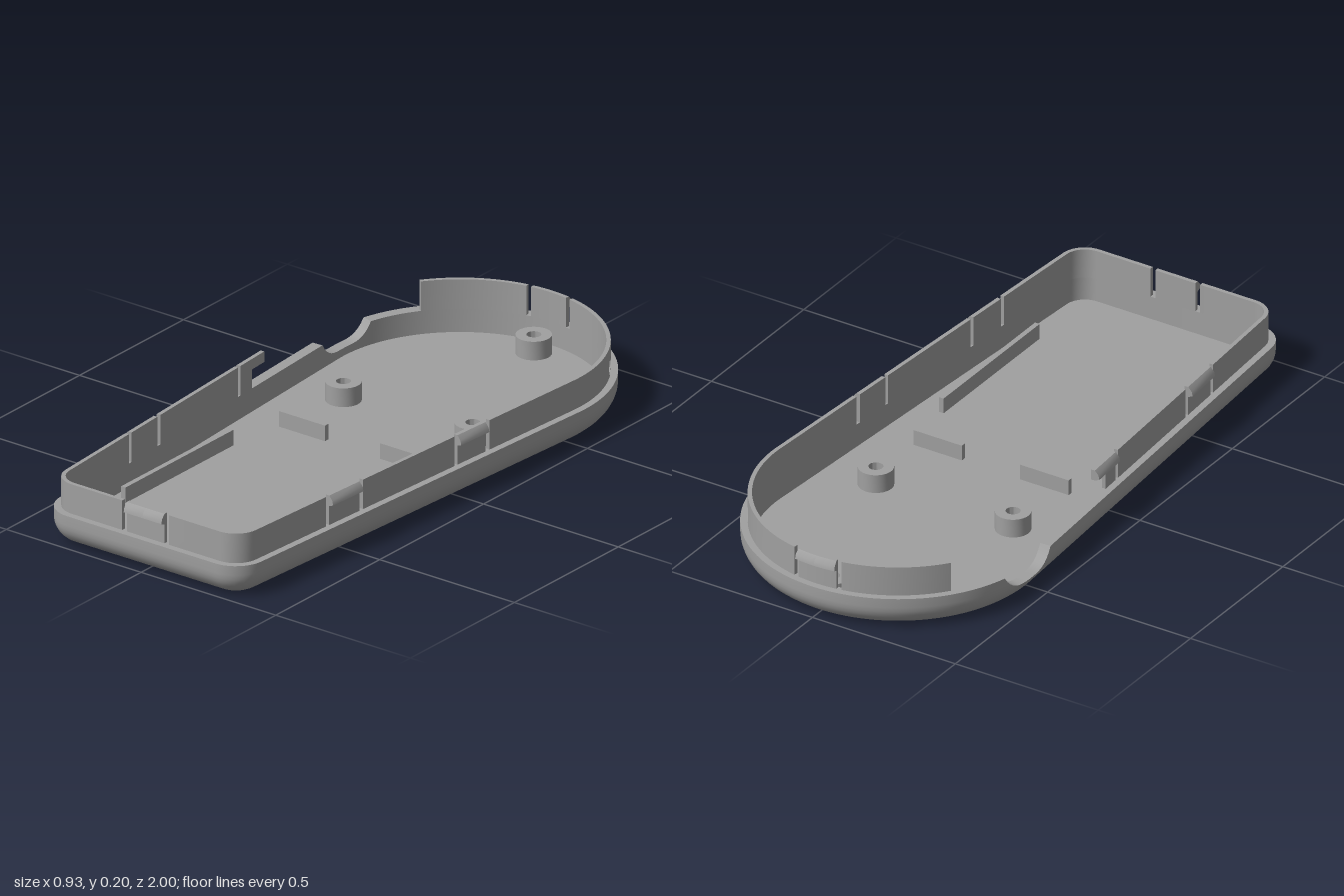
import * as THREE from 'three';
import { toCreasedNormals } from 'three/addons/utils/BufferGeometryUtils.js';

// Outline: big round back, tapering straight sides, small rounded front corners
const R = 0.465, ZB = -0.535, r = 0.1, CX = 0.275, ZF = 0.9, PHI = 0.0631;
const ARC = R * (Math.PI / 2 + PHI);
const SIDE = Math.sqrt(CX * CX + (ZF - ZB) ** 2 - (R - r) ** 2);
const CORNER = r * (Math.PI / 2 - PHI);
const L = ARC + SIDE + CORNER + CX;
const zA = ZB + R * Math.sin(PHI), zE = ZF + r * Math.sin(PHI);
const uZ = z => ARC + SIDE * (z - zA) / (zE - zA);

// Heights and insets
const LEDGE = 0.105, TOP = 0.2, FLOOR = 0.03, ROUND = 0.075, LIP_OUT = 0.022, LIP_IN = 0.035;

// Point on the outline at distance s from the back centre (negative = right half), inset by d
function at(s, d) {
  const u = Math.abs(s);
  let a, cx = 0, cz = ZB, rad = R;
  if (u < ARC) a = -Math.PI / 2 + u / R;
  else if (u < ARC + SIDE) {
    const k = (u - ARC) / SIDE;
    a = PHI; cx = CX * k; cz = ZB + (ZF - ZB) * k; rad = R + (r - R) * k;
  } else {
    const v = u - ARC - SIDE;
    a = PHI + Math.min(v, CORNER) / r;
    cx = CX - Math.max(0, v - CORNER); cz = ZF; rad = r;
  }
  return [Math.sign(s) * (cx + (rad - d) * Math.cos(a)), cz + (rad - d) * Math.sin(a)];
}

// Side notch in the rim
const N0 = uZ(-0.655), N1 = uZ(-0.42);
function rimTop(s) {
  const k = (-s - (N0 + N1) / 2) / ((N1 - N0) / 2);
  return Math.abs(k) < 1 ? LEDGE - 0.05 * (1 - k ** 4) : LEDGE;
}

const half = [0];
for (let i = 1; i <= 40; i++) half.push(ARC * i / 40);
for (let i = 0; i <= 20; i++) half.push(N0 + (N1 - N0) * i / 20);
for (let i = 0; i <= 10; i++) half.push(ARC + SIDE + CORNER * i / 10);
half.push(L);
const base = [...new Set([...half, ...half.map(u => -u)])].sort((a, b) => a - b);
const stations = (a, b, n = 1) => {
  const list = base.filter(s => s > a + 1e-5 && s < b - 1e-5);
  for (let i = 0; i <= n; i++) list.push(a + (b - a) * i / n);
  return list.sort((p, q) => p - q);
};

// Sweep a profile of [inset, height] points along the outline
function sweep(st, profile, solid = true) {
  const rows = st.map(s => profile(s).map(([d, y]) => {
    const [x, z] = at(s, d);
    return [x, y, z];
  }));
  const pos = [], m = rows[0].length, tri = (...p) => p.forEach(v => pos.push(...v));
  for (let i = 0; i < rows.length - 1; i++)
    for (let j = 0; j < (solid ? m : m - 1); j++) {
      const k = (j + 1) % m, A = rows[i], B = rows[i + 1];
      tri(A[j], A[k], B[j]);
      tri(A[k], B[k], B[j]);
    }
  if (solid) {
    const S = rows[0], E = rows[rows.length - 1];
    for (let j = 1; j < m - 1; j++) {
      tri(S[0], S[j + 1], S[j]);
      tri(E[0], E[j], E[j + 1]);
    }
  }
  const g = new THREE.BufferGeometry();
  g.setAttribute('position', new THREE.Float32BufferAttribute(pos, 3));
  return toCreasedNormals(g, 0.5);
}

export function createModel() {
  const model = new THREE.Group();
  model.name = 'enclosureHalf';
  const plastic = new THREE.MeshStandardMaterial({ color: 0xa0a0a0, side: THREE.DoubleSide });
  plastic.name = 'greyPlastic';
  const add = (name, geo, x = 0, y = 0, z = 0) => {
    const mesh = new THREE.Mesh(geo, plastic);
    mesh.name = name;
    mesh.position.set(x, y, z);
    model.add(mesh);
  };

  // Outer wall with rounded bottom edge, ledge and inner face
  add('outerWall', sweep(stations(-L, L), s => {
    const top = rimTop(s), p = [];
    for (let i = 0; i <= 8; i++) {
      const a = Math.PI / 2 * i / 8;
      p.push([ROUND * (1 - Math.sin(a)), Math.min(top, ROUND * (1 - Math.cos(a)))]);
    }
    return [...p, [0, top], [LIP_IN, top], [LIP_IN, FLOOR]];
  }, false));

  // Flat underside and inner floor, pierced at the screw posts
  const posts = [[-0.24, -0.285], [0.24, -0.285], [0, -0.89]];
  const plate = (inset, dir) => {
    const shape = new THREE.Shape(stations(-L, L).slice(1).map(s => {
      const [x, z] = at(s, inset);
      return new THREE.Vector2(x, dir * z);
    }));
    for (const [x, z] of posts)
      shape.holes.push(new THREE.Path().absarc(x, dir * z, 0.054, 0, Math.PI * 2, true));
    return new THREE.ShapeGeometry(shape, 24).rotateX(dir * Math.PI / 2);
  };
  add('underside', plate(ROUND, 1));
  add('floor', plate(LIP_IN, -1), 0, FLOOR, 0);

  // Screw posts, countersunk from below
  const postProfile = [[0.054, 0], [0.04, 0.03], [0.022, 0.04], [0.022, 0.09], [0.054, 0.09], [0.054, FLOOR]]
    .map(p => new THREE.Vector2(...p)).reverse();
  const postGeo = toCreasedNormals(new THREE.LatheGeometry(postProfile, 32).toNonIndexed(), 0.5);
  for (const [x, z] of posts) add('screwPost', postGeo, x, 0, z);

  // Ribs on the floor
  for (const side of [-1, 1]) {
    add('crossRib', new THREE.BoxGeometry(0.17, 0.05, 0.016), side * 0.187, FLOOR + 0.025, -0.025);
    add('longRib', new THREE.BoxGeometry(0.016, 0.05, 0.52), side * 0.305, FLOOR + 0.025, 0.43);
  }

  // Thin upper lip, cut by slits beside each clip
  const lip = (name, side, a, b, lo = () => LEDGE - 0.002, hi = () => TOP, n = 1) => {
    const [p, q] = side > 0 ? [a, b] : [-b, -a];
    add(name, sweep(stations(p, q, n), s =>
      [[LIP_OUT, lo(s)], [LIP_OUT, hi(s)], [LIP_IN, hi(s)], [LIP_IN, lo(s)]]));
  };
  const hook = (side, a, b) => {
    const [p, q] = side > 0 ? [a, b] : [-b, -a];
    add('clipHook', sweep(stations(p, q), () =>
      [[LIP_OUT, 0.166], [0.007, 0.172], [0.01, 0.186], [LIP_OUT, TOP]]));
  };
  const clips = [[0, 0.07], [uZ(-0.115), uZ(0.01)], [uZ(0.445), uZ(0.58)], [L - 0.07, L]];
  const H = 0.458, HW = 0.035, HR = 0.028, HY = 0.132;
  for (const side of [-1, 1]) {
    clips.forEach(([a, b], i) => {
      hook(side, a, b);
      if (side < 0 && i === 1) {
        // This clip is half cut away under its hook
        lip('clip', side, uZ(-0.05), b);
        lip('clipBar', side, a, uZ(-0.05), () => 0.166);
      } else lip('clip', side, a, b);
    });
    lip('lip', side, uZ(0.023), uZ(0.43));
    lip('lip', side, uZ(0.595), L - 0.087);
  }
  // Right half leaves a wide opening, left half has a round cable hole
  lip('lip', -1, 0.087, 0.432);
  lip('lip', 1, 0.087, H - HW);
  lip('lip', 1, H + HW, uZ(-0.133));
  const bow = s => HR * Math.sqrt(Math.max(0, 1 - ((s - H) / HW) ** 2));
  lip('lipUnderHole', 1, H - HW, H + HW, undefined, s => Math.max(LEDGE, HY - bow(s)), 24);
  lip('lipOverHole', 1, H - HW, H + HW, s => HY + bow(s), undefined, 24);

  return model;
}
